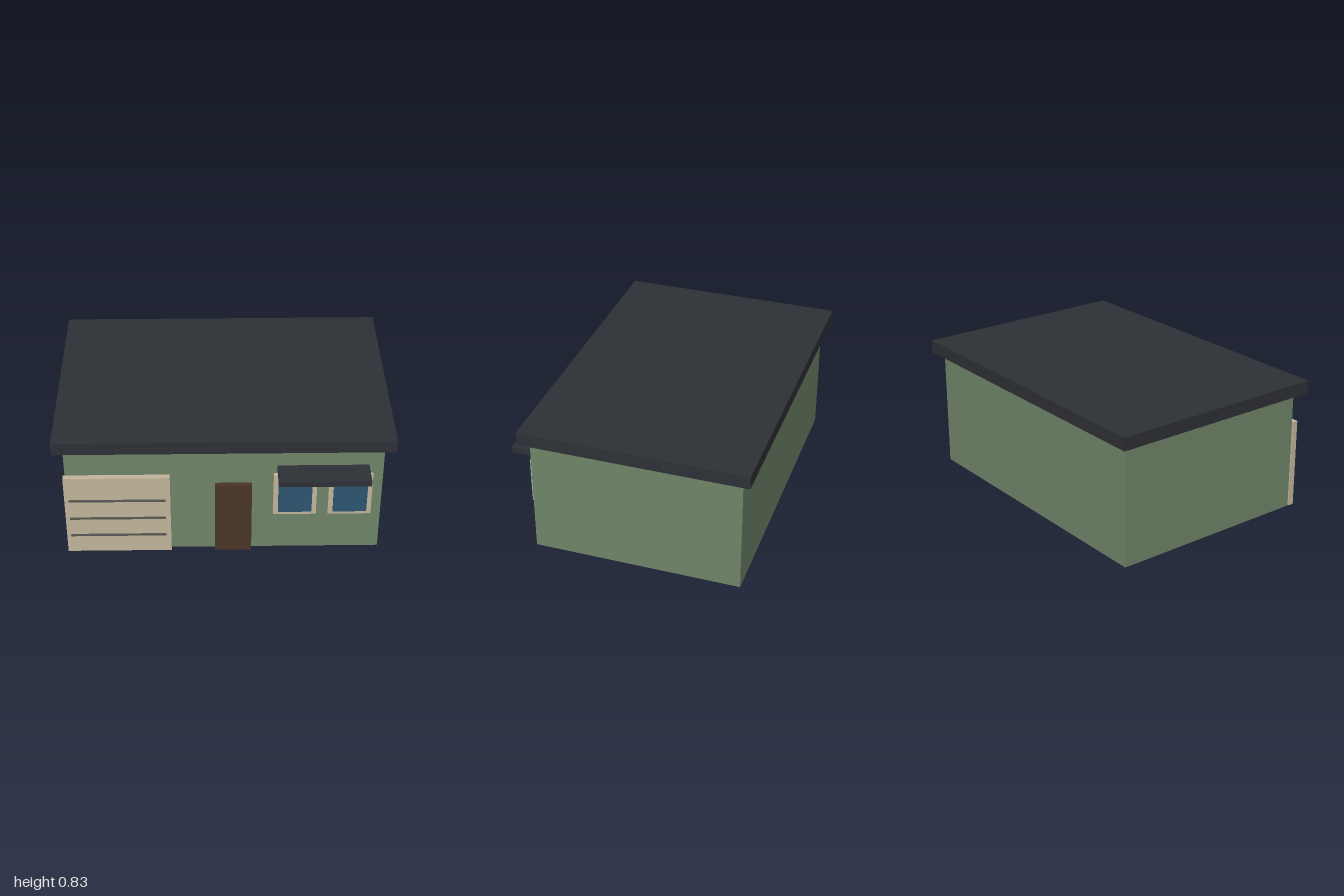
import * as THREE from 'three';

const material = (color) => new THREE.MeshStandardMaterial({ color });

export function createModel() {
  const house = new THREE.Group();
  house.name = 'house';

  const wallGreen = material(0x6f8468);
  const roofGrey = material(0x2d3035);
  const trimTan = material(0xc2b59b);
  const doorBrown = material(0x4a3427);
  const glassBlue = material(0x2d5670);
  const grooveGrey = material(0x5a5853);

  // Box spanning the given [min, max] ranges
  const box = (name, mat, [x0, x1], [y0, y1], [z0, z1], parent = house) => {
    const mesh = new THREE.Mesh(new THREE.BoxGeometry(x1 - x0, y1 - y0, z1 - z0), mat);
    mesh.position.set((x0 + x1) / 2, (y0 + y1) / 2, (z0 + z1) / 2);
    mesh.name = name;
    parent.add(mesh);
    return mesh;
  };

  // Body and flat overhanging roof
  box('walls', wallGreen, [-0.94, 0.94], [0, 0.75], [-0.69, 0.585]);
  box('roof', roofGrey, [-1, 1], [0.75, 0.83], [-0.745, 0.64]);

  // Garage door with raised horizontal strips
  const garage = new THREE.Group();
  garage.name = 'garage';
  house.add(garage);
  box('garageDoor', trimTan, [-0.95, -0.32], [0.005, 0.56], [0.585, 0.62], garage);
  for (const y of [0.134, 0.263, 0.395]) {
    box('garageStrip', grooveGrey, [-0.925, -0.35], [y - 0.006, y + 0.006], [0.615, 0.628], garage);
  }

  // Front door
  box('frontDoor', doorBrown, [-0.055, 0.165], [0.003, 0.495], [0.58, 0.62]);

  // Pair of windows: frame panel with a proud pane
  for (const x of [0.421, 0.749]) {
    const windowUnit = new THREE.Group();
    windowUnit.name = 'window';
    house.add(windowUnit);
    box('windowFrame', trimTan, [x - 0.129, x + 0.129], [0.28, 0.57], [0.594, 0.62], windowUnit);
    box('windowPane', glassBlue, [x - 0.1, x + 0.1], [0.31, 0.542], [0.61, 0.637], windowUnit);
  }

  // Canopy over the windows
  box('canopy', roofGrey, [0.315, 0.855], [0.583, 0.62], [0.58, 0.745]);

  return house;
}
